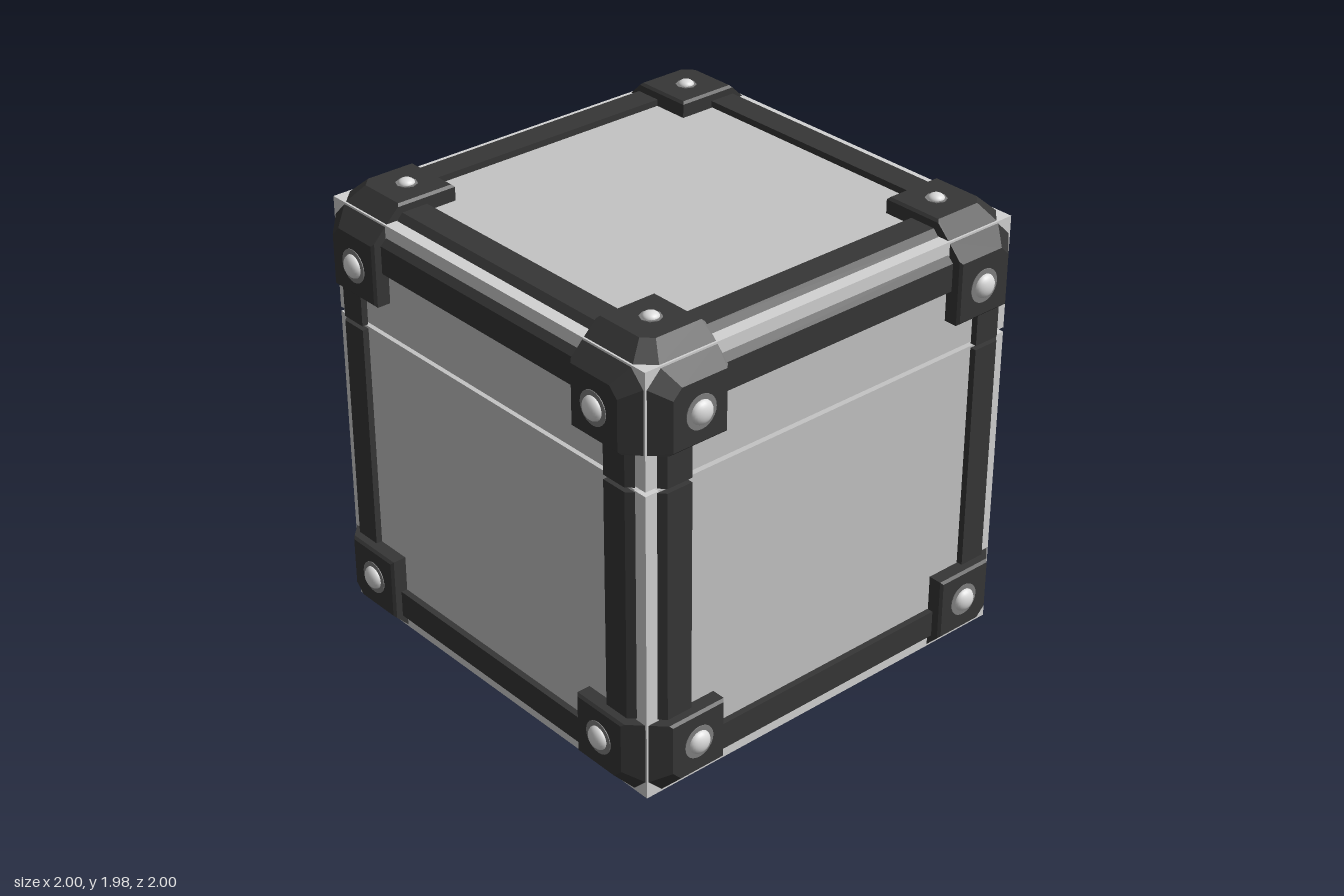
import * as THREE from 'three';
import { ConvexGeometry } from 'three/addons/geometries/ConvexGeometry.js';

const mat = (name, color) => Object.assign(new THREE.MeshStandardMaterial({ color }), { name });

export function createModel() {
  const panel = mat('panel grey', 0xc4c4c4);
  const trim = mat('edge trim', 0xd2d2d2);
  const dark = mat('dark fittings', 0x363636);
  const steel = mat('rivet steel', 0xdcdcdc);
  const washerGrey = mat('washer grey', 0x808080);
  const hingeGrey = mat('hinge grey', 0x606060);

  const model = new THREE.Group();
  model.name = 'flightCase';
  const body = new THREE.Group(); // centred on the middle of the cube
  body.name = 'caseBody';
  body.position.y = 0.99;
  model.add(body);

  const add = (name, geometry, material) => {
    const mesh = new THREE.Mesh(geometry, material);
    mesh.name = name;
    body.add(mesh);
    return mesh;
  };
  const box = (name, material, min, max) => {
    const size = max.map((m, i) => m - min[i]);
    add(name, new THREE.BoxGeometry(...size), material)
      .position.set(...max.map((m, i) => (m + min[i]) / 2));
  };
  // Place values on three axes, where n is the face axis
  const point = (n, u, v, a, b, c) => {
    const p = [0, 0, 0];
    p[n] = a; p[u] = b; p[v] = c;
    return new THREE.Vector3(...p);
  };

  // Base and lid with the slot between them
  const SLOT_LOW = 0.411, SLOT_HIGH = 0.43, H = 0.901, T = 0.905;
  box('base', panel, [-H, -H, -H], [H, SLOT_LOW, H]);
  box('lid', panel, [-H, SLOT_HIGH, -H], [H, H, H]);

  // Lengths along an axis; upright parts are cut at the slot
  const spans = (axis, end) => axis === 1
    ? [[-end, SLOT_LOW], [SLOT_HIGH, end]] : [[-end, end]];

  // Metal trim on the twelve edges
  for (let axis = 0; axis < 3; axis++) {
    const u = (axis + 1) % 3, v = (axis + 2) % 3;
    for (const su of [-1, 1]) for (const sv of [-1, 1]) for (const [lo, hi] of spans(axis, T)) {
      const min = [0, 0, 0], max = [0, 0, 0];
      min[axis] = lo; max[axis] = hi;
      for (const [k, s] of [[u, su], [v, sv]]) {
        min[k] = s > 0 ? T - 0.06 : -T;
        max[k] = s > 0 ? T : -T + 0.06;
      }
      box('edgeTrim', trim, min, max);
    }
  }

  // Dark strips beside each edge, bevelled on the outer side
  const stripProfile = [[0.717, 0.911], [0.717, 0.938], [0.832, 0.938], [0.857, 0.911]];
  for (let n = 0; n < 3; n++) for (const sn of [-1, 1]) {
    for (const along of [(n + 1) % 3, (n + 2) % 3]) {
      const across = 3 - n - along;
      for (const sa of [-1, 1]) for (const [lo, hi] of spans(along, 0.562)) {
        const pts = [];
        for (const end of [lo, hi]) for (const [w, h] of stripProfile) {
          pts.push(point(n, along, across, sn * h, end, sa * w));
        }
        add('edgeStrip', new ConvexGeometry(pts), dark);
      }
    }
  }

  // Corner plates: outline at the panel, at mid height and at the outer face
  const outline = (inner, outer, cut) => [
    [inner, inner], [outer, inner], [outer, outer - cut], [outer - cut, outer], [inner, outer]];
  const layers = [
    [0.9, outline(0.575, 0.902, 0.065)],
    [0.958, outline(0.575, 0.842, 0.045)],
    [0.968, outline(0.585, 0.832, 0.04)]];

  // Rivets: round on the sides, smaller and flatter on top and bottom
  const domeGeo = new THREE.SphereGeometry(1, 20, 8, 0, Math.PI * 2, 0, Math.PI / 2);
  const up = new THREE.Vector3(0, 1, 0);
  for (let n = 0; n < 3; n++) {
    const u = (n + 1) % 3, v = (n + 2) % 3;
    const flat = n === 1;
    const washerGeo = new THREE.CylinderGeometry(flat ? 0.043 : 0.069, flat ? 0.043 : 0.069, 0.006, flat ? 8 : 24);
    for (const sn of [-1, 1]) for (const su of [-1, 1]) for (const sv of [-1, 1]) {
      const pts = [];
      for (const [h, ring] of layers) for (const [a, b] of ring) {
        pts.push(point(n, u, v, sn * h, su * a, sv * b));
      }
      add('cornerPlate', new ConvexGeometry(pts), dark);

      const turn = new THREE.Quaternion().setFromUnitVectors(up, point(n, u, v, sn, 0, 0));
      const washer = add('washer', washerGeo, washerGrey);
      washer.quaternion.copy(turn);
      washer.position.copy(point(n, u, v, sn * 0.968, su * 0.705, sv * 0.705));
      const dome = add('rivet', domeGeo, steel);
      dome.quaternion.copy(turn);
      dome.position.copy(point(n, u, v, sn * 0.969, su * 0.705, sv * 0.705));
      if (flat) dome.scale.set(0.033, 0.021, 0.033);
      else dome.scale.set(0.049, 0.031, 0.049);
    }
  }

  // Hinge knuckles in the slot near the back
  for (const s of [-1, 1]) for (const half of [-1, 1]) {
    const x = s * 0.47 + half * 0.073;
    box('hinge', hingeGrey, [x - 0.071, SLOT_LOW, -0.79], [x + 0.071, SLOT_HIGH, -0.72]);
  }

  return model;
}
